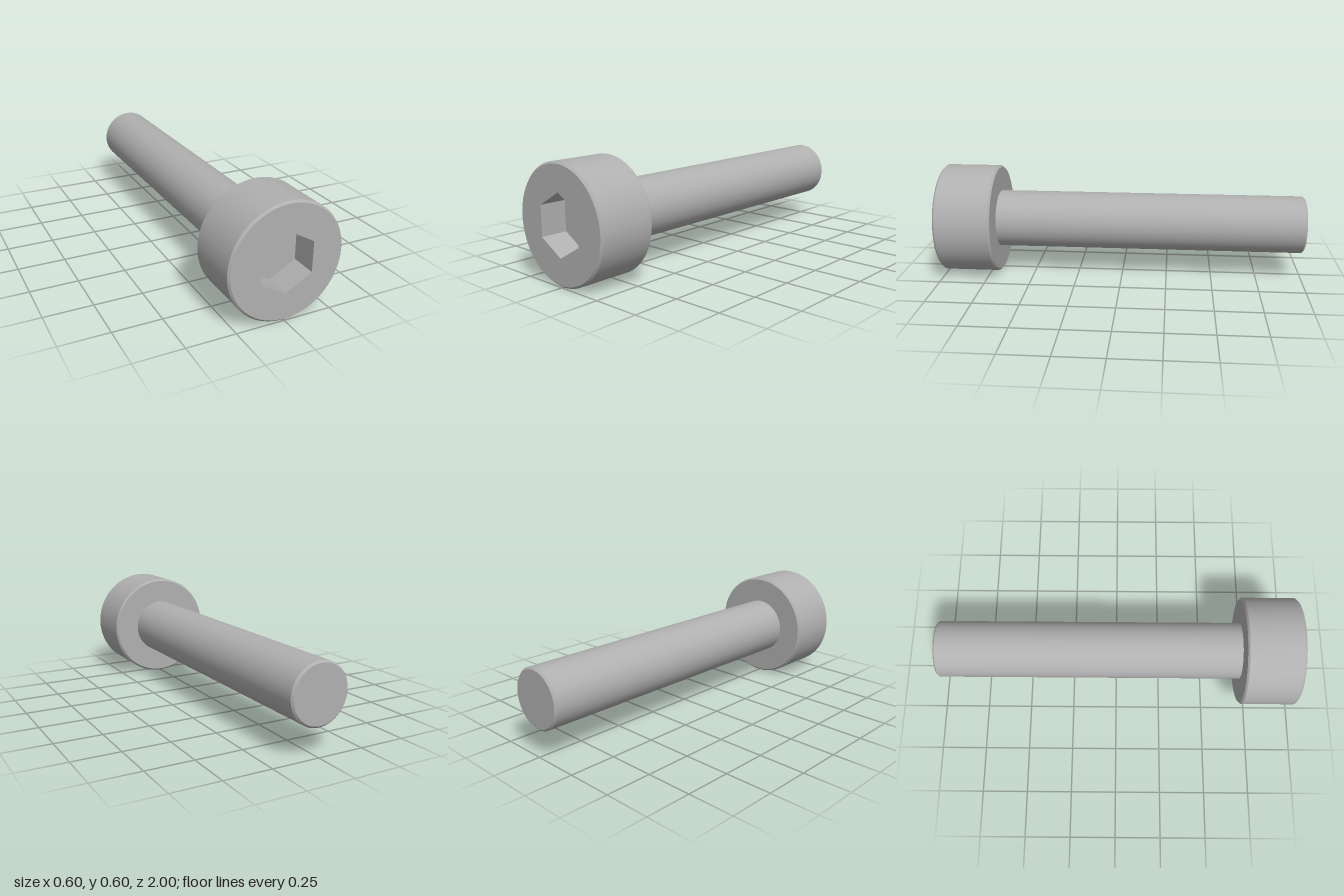
import * as THREE from 'three';
import { toCreasedNormals } from 'three/addons/utils/BufferGeometryUtils.js';

const HEAD_R = 0.299, SHANK_R = 0.157, CHAMFER = 0.01;
const FRONT = 1, HEAD_BACK = 0.69, TIP = -1, SOCKET_FLOOR = 0.86;
const SEGMENTS = 64;

// Revolve [radius, z] pairs about the z axis, keeping hard edges sharp
function revolve(profile, segments) {
  const points = profile.map(([r, z]) => new THREE.Vector2(r, z));
  const geometry = new THREE.LatheGeometry(points, segments).rotateX(Math.PI / 2);
  return toCreasedNormals(geometry, 0.5);
}

export function createModel() {
  const model = new THREE.Group();
  model.name = 'socketHeadBolt';
  const steel = new THREE.MeshStandardMaterial({ color: 0xb0b0b0 });
  steel.name = 'grey steel';

  const bolt = new THREE.Group();
  bolt.name = 'bolt';
  bolt.position.y = HEAD_R;
  model.add(bolt);

  const add = (name, geometry) => {
    const mesh = new THREE.Mesh(geometry, steel);
    mesh.name = name;
    bolt.add(mesh);
  };

  // Shank with a chamfered tip
  add('shank', revolve([
    [0, TIP],
    [SHANK_R - CHAMFER, TIP],
    [SHANK_R, TIP + CHAMFER],
    [SHANK_R, HEAD_BACK],
  ], SEGMENTS));

  // Head side and underside, chamfered on both rims
  add('head', revolve([
    [SHANK_R, HEAD_BACK],
    [HEAD_R - CHAMFER, HEAD_BACK],
    [HEAD_R, HEAD_BACK + CHAMFER],
    [HEAD_R, FRONT - CHAMFER],
    [HEAD_R - CHAMFER, FRONT],
  ], SEGMENTS));

  // Front face with a hexagonal opening
  const face = new THREE.Shape().absarc(0, 0, HEAD_R - CHAMFER, 0, Math.PI * 2);
  const hexagon = [];
  for (let i = 0; i < 6; i++) {
    const a = Math.PI / 2 - i * Math.PI / 3;
    hexagon.push(new THREE.Vector2(Math.cos(a) * SHANK_R, Math.sin(a) * SHANK_R));
  }
  face.holes.push(new THREE.Path(hexagon));
  add('headFace', new THREE.ShapeGeometry(face, SEGMENTS).translate(0, 0, FRONT));

  // Hexagonal socket walls and floor
  add('hexSocket', revolve([
    [SHANK_R, FRONT],
    [SHANK_R, SOCKET_FLOOR],
    [0, SOCKET_FLOOR],
  ], 6));

  return model;
}
